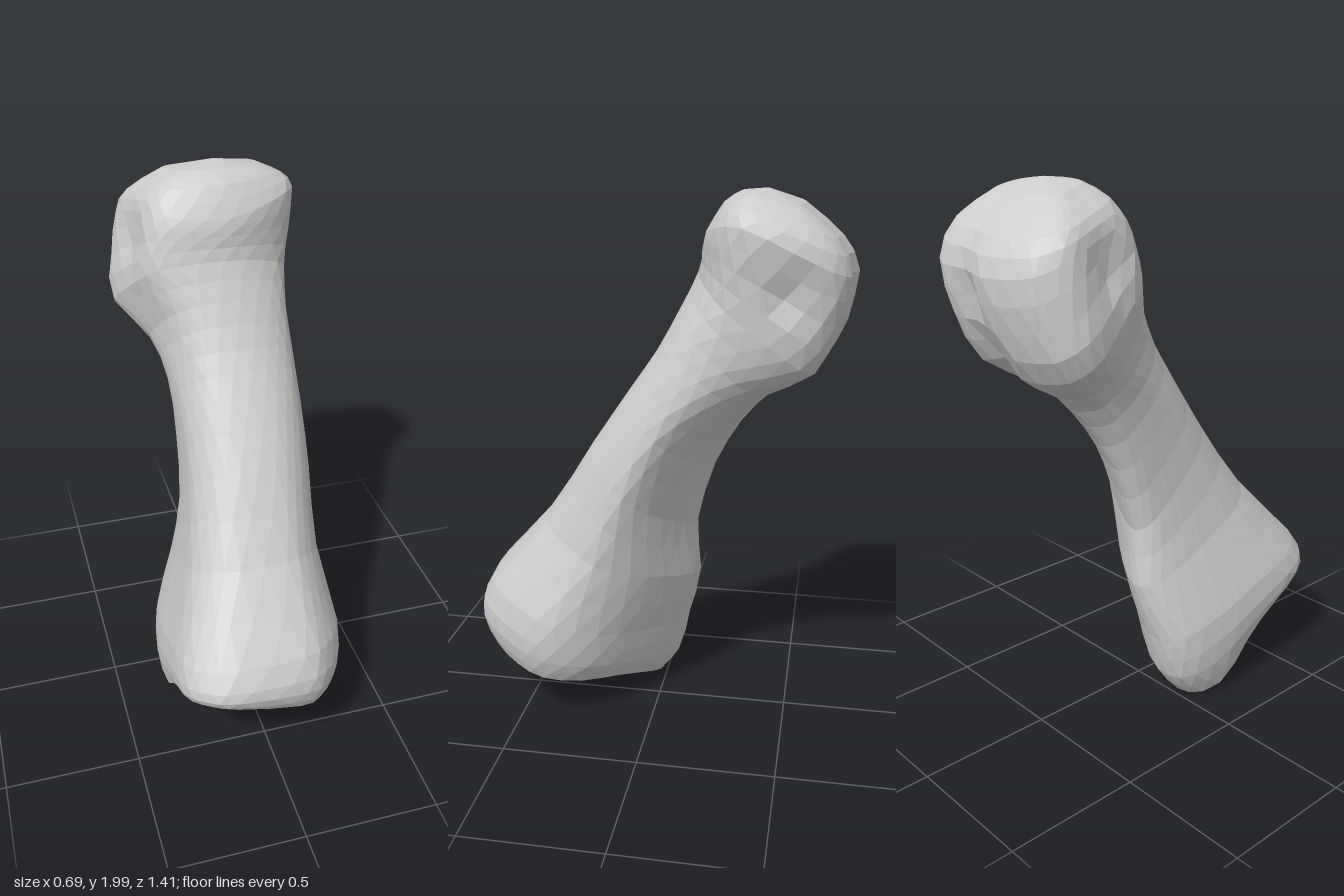
import * as THREE from 'three';

// Cross-sections from the base to the head:
// front z, y | back z, y | min x, max x | outline stage | tilt at front, tilt at back | corner lift
const SECTIONS = [
  [0.68, 0.32, 0.02, 0.055, -0.31, 0.28, 0, -0.25, 0.16, 0],
  [0.71, 0.40, -0.05, 0.13, -0.34, 0.315, 0, -0.12, 0.08, 0],
  [0.66, 0.52, -0.09, 0.28, -0.33, 0.32, 0.1, 0, 0, 0],
  [0.43, 0.78, -0.14, 0.50, -0.24, 0.28, 0.5, 0, 0, 0],
  [0.24, 1.07, -0.13, 0.72, -0.19, 0.28, 0.95, 0, 0, 0],
  [0.10, 1.28, -0.20, 0.97, -0.18, 0.28, 1.1, 0, 0, 0],
  [0.00, 1.43, -0.30, 1.15, -0.19, 0.28, 1.4, 0, 0, 0],
  [-0.08, 1.58, -0.41, 1.27, -0.23, 0.28, 1.75, 0, 0, 0],
  [-0.14, 1.71, -0.59, 1.37, -0.325, 0.30, 2, 0, 0, 0],
  [-0.155, 1.79, -0.67, 1.54, -0.32, 0.325, 2, 0, 0, 0.4],
  [-0.17, 1.85, -0.70, 1.72, -0.29, 0.34, 2, 0, 0, 1],
  [-0.23, 1.95, -0.64, 1.84, -0.25, 0.30, 2, 0.04, 0.03, 0.2],
  [-0.29, 1.99, -0.51, 1.95, -0.13, 0.21, 2, 0, 0, 0],
];

// Outlines as [side -1..1, depth 0 front..1 back], from +x round the front
const OUTLINES = [
  // base: long on one side, cut away at the back of the other
  [[1, 0.42], [0.88, 0.25], [0.64, 0.1], [0.33, 0.02], [-0.48, 0], [-0.79, 0.06], [-0.97, 0.18],
    [-1, 0.45], [-1, 0.7], [-0.9, 0.92], [-0.64, 1], [-0.25, 0.97], [0.35, 0.8], [0.82, 0.62]],
  // shaft: flat front and a ridge at the back
  [[1, 0.4], [0.85, 0.2], [0.6, 0.07], [0.25, 0], [-0.3, 0], [-0.7, 0.08], [-0.95, 0.25],
    [-1, 0.45], [-1, 0.7], [-0.95, 0.9], [-0.75, 1], [-0.45, 0.97], [0.1, 0.82], [0.65, 0.62]],
  // head: round front and two knuckles at the back
  [[1, 0.6], [0.95, 0.28], [0.62, 0.1], [0.1, 0], [-0.45, 0.03], [-0.75, 0.15], [-0.9, 0.42],
    [-1, 0.68], [-0.9, 0.84], [-0.72, 0.93], [-0.2, 1], [0.25, 0.95], [0.6, 0.95], [0.88, 0.84]],
];

// Hollows: x, y, z, radius, depth towards the head centre
const HOLLOWS = [
  [0.33, 1.68, -0.48, 0.09, 0.045],
  [-0.31, 1.74, -0.36, 0.09, 0.035],
  [0.04, 1.42, -0.60, 0.10, 0.05],
  [0.08, 1.66, -0.69, 0.07, 0.03],
  // negative depths swell the side knuckle and the lower lobe of the base
  [-0.29, 1.48, -0.53, 0.10, -0.015],
  [-0.26, 0.06, 0.17, 0.13, -0.06],
];
const HEAD_CENTRE = new THREE.Vector3(0.02, 1.68, -0.42);
const SIDES = 28;
const RINGS = 24;

// Smooth curve through chosen section columns
function track(a, b, c) {
  const points = SECTIONS.map((s) => new THREE.Vector3(s[a], s[b], c === undefined ? 0 : s[c]));
  return new THREE.CatmullRomCurve3(points, false, 'catmullrom', 0.5);
}

// Closed outline blended between two neighbouring stages
function outlineAt(stage) {
  const s = THREE.MathUtils.clamp(stage, 0, 2);
  const low = Math.min(Math.floor(s), 1);
  const points = OUTLINES[low].map(([x, t], n) => {
    const [x2, t2] = OUTLINES[low + 1][n];
    return new THREE.Vector3(x, t, 0).lerp(new THREE.Vector3(x2, t2, 0), s - low);
  });
  return new THREE.CatmullRomCurve3(points, true, 'catmullrom', 0.5);
}

function shapeHollows(p) {
  const inward = HEAD_CENTRE.clone().sub(p).normalize();
  let push = 0;
  for (const [x, y, z, r, depth] of HOLLOWS) {
    const d2 = (p.x - x) ** 2 + (p.y - y) ** 2 + (p.z - z) ** 2;
    push += depth * Math.exp(-d2 / (r * r));
  }
  return p.addScaledVector(inward, push);
}

function boneGeometry() {
  const { lerp } = THREE.MathUtils;
  const fronts = track(0, 1), backs = track(2, 3);
  const widths = track(4, 5, 6), tilts = track(7, 8, 9);
  const positions = [], index = [];

  // Rings of the loft
  for (let i = 0; i <= RINGS; i++) {
    const u = i / RINGS;
    const f = fronts.getPoint(u), b = backs.getPoint(u);
    const w = widths.getPoint(u), tilt = tilts.getPoint(u);
    const outline = outlineAt(w.z);
    for (let j = 0; j < SIDES; j++) {
      const { x: side, y: t } = outline.getPoint((j + (i % 2) * 0.5) / SIDES);
      const x = lerp(w.x, w.y, (side + 1) / 2);
      const y = lerp(f.y, b.y, t) + x * lerp(tilt.x, tilt.y, t) + tilt.z * x * x * (1 - t);
      const z = lerp(f.x, b.x, t);
      positions.push(...shapeHollows(new THREE.Vector3(x, y, z)).toArray());
    }
  }

  // Staggered triangles between neighbouring rings
  for (let i = 0; i < RINGS; i++) {
    for (let j = 0; j < SIDES; j++) {
      const k = (j + 1) % SIDES;
      const a = i * SIDES + j, b = i * SIDES + k;
      const c = a + SIDES, d = b + SIDES;
      if (i % 2 === 0) index.push(a, c, b, b, c, d);
      else index.push(a, c, d, a, d, b);
    }
  }

  // Hollowed joint face at the base and crown of the head
  const base = positions.length / 3;
  positions.push(-0.06, 0.185, 0.36, 0.04, 2.0, -0.38);
  const last = RINGS * SIDES;
  for (let j = 0; j < SIDES; j++) {
    const k = (j + 1) % SIDES;
    index.push(base, j, k, base + 1, last + k, last + j);
  }

  const indexed = new THREE.BufferGeometry();
  indexed.setAttribute('position', new THREE.Float32BufferAttribute(positions, 3));
  indexed.setIndex(index);
  // Separate faces give the faceted look
  const geometry = indexed.toNonIndexed();
  geometry.computeVertexNormals();
  return geometry;
}

export function createModel() {
  const group = new THREE.Group();
  group.name = 'fingerBone';
  const boneGrey = new THREE.MeshStandardMaterial({ color: 0xcccccc });
  boneGrey.name = 'bone grey';
  const bone = new THREE.Mesh(boneGeometry(), boneGrey);
  bone.name = 'boneShaftAndJoints';
  group.add(bone);
  return group;
}
